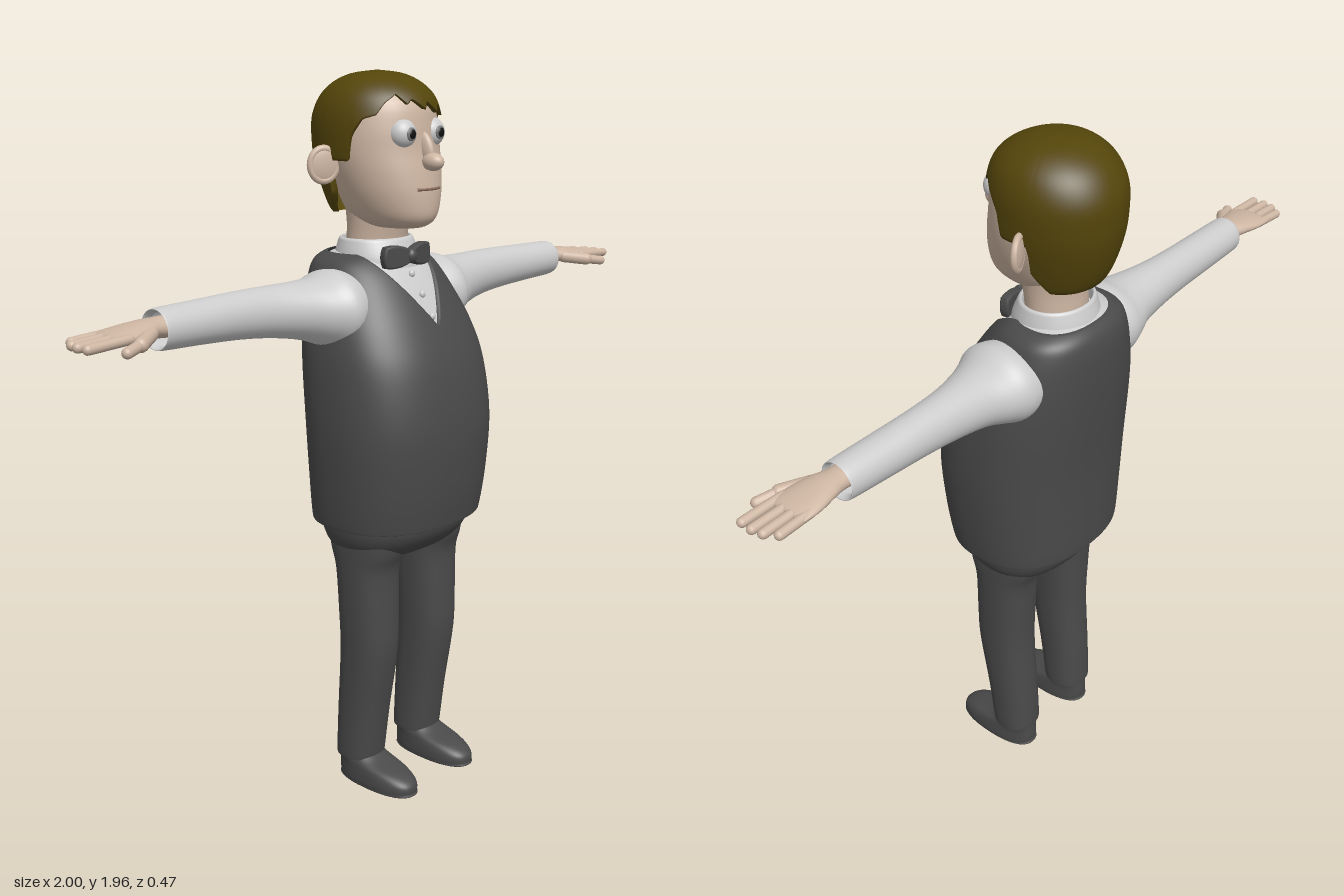
import * as THREE from 'three';

const mat = (color) => new THREE.MeshStandardMaterial({ color, side: THREE.DoubleSide });
const SKIN = mat(0xcdb5a2), HAIR = mat(0x54450a), CLOTH = mat(0x4a4a4a), SHIRT = mat(0xcccccc);
const WHITE = mat(0xe8e8e8), IRIS = mat(0x777777), BLACK = mat(0x101010), LIP = mat(0x8a6c5c);

// Cross-section row: [height, half width, front z, back z, centre x]
function rowAt(rows, t) {
  const n = rows.length - 1, f = Math.min(Math.max(t, 0), 1) * n;
  const i = Math.min(Math.floor(f), n - 1), u = f - i;
  const at = (k, c) => rows[Math.min(Math.max(k, 0), n)][c] ?? 0;
  return [0, 1, 2, 3, 4].map((c) => {
    const [a, b, d, e] = [i - 1, i, i + 1, i + 2].map((k) => at(k, c));
    return b + 0.5 * u * (d - a + u * (2 * a - 5 * b + 4 * d - e + u * (3 * (b - d) + e - a)));
  });
}

// Highest t for which test(row) still holds
function lastT(rows, test) {
  let lo = 0, hi = 1;
  for (let k = 0; k < 24; k++) {
    const m = (lo + hi) / 2;
    if (test(rowAt(rows, m))) lo = m; else hi = m;
  }
  return lo;
}

const pw = (v, e) => Math.sign(v) * Math.abs(v) ** e;

// Smooth skin over rows; from/to limit it per angle (0 = front, + = left), lip turns the edges inward
function loft(rows, { e = 1, seg = 40, steps = 40, from = () => 0, to = () => 1, lip = 0 } = {}) {
  const pos = [], idx = [], first = lip ? -1 : 0, last = lip ? steps + 1 : steps;
  const limits = Array.from({ length: seg }, (_, i) => {
    let a = (i / seg) * Math.PI * 2;
    if (a > Math.PI) a -= Math.PI * 2;
    return [a, from(a), to(a)];
  });
  for (let j = first; j <= last; j++) {
    const u = Math.min(Math.max(j / steps, 0), 1);
    const k = j < 0 || j > steps ? 1 - lip : 1;
    for (const [a, t0, t1] of limits) {
      const [y, w, zf, zb, cx] = rowAt(rows, t0 + (t1 - t0) * u);
      pos.push(cx + k * w * pw(Math.sin(a), e), y, (zf + zb) / 2 + (k * (zf - zb) / 2) * pw(Math.cos(a), e));
    }
  }
  for (let j = 0; j < last - first; j++) for (let i = 0; i < seg; i++) {
    const a = j * seg + i, b = j * seg + (i + 1) % seg;
    idx.push(a, b, a + seg, b, b + seg, a + seg);
  }
  const g = new THREE.BufferGeometry();
  g.setAttribute('position', new THREE.Float32BufferAttribute(pos, 3));
  g.setIndex(idx);
  g.computeVertexNormals();
  return g;
}

export function createModel() {
  const root = new THREE.Group();
  root.name = 'standingMan';
  const add = (name, geo, material, parent = root) => {
    const m = new THREE.Mesh(geo, material);
    m.name = name;
    parent.add(m);
    return m;
  };
  const ball = (name, material, p, s, parent = root) => {
    const m = add(name, new THREE.SphereGeometry(1, 28, 20), material, parent);
    m.position.set(...p);
    m.scale.set(...s);
    return m;
  };
  const capsule = (name, a, b, r, parent) => {
    const A = new THREE.Vector3(...a), B = new THREE.Vector3(...b), d = B.clone().sub(A);
    const m = add(name, new THREE.CapsuleGeometry(r, d.length(), 6, 14), SKIN, parent);
    m.position.copy(A).add(B).multiplyScalar(0.5);
    m.quaternion.setFromUnitVectors(new THREE.Vector3(0, 1, 0), d.normalize());
  };

  // Vest with a V neck, over a slightly smaller shirt
  const body = [
    [0.80, 0.205, 0.185, -0.15], [0.782, 0.235, 0.21, -0.172], [0.79, 0.243, 0.217, -0.178],
    [0.9, 0.254, 0.233, -0.182], [1.05, 0.262, 0.24, -0.188], [1.2, 0.256, 0.216, -0.2],
    [1.3, 0.24, 0.175, -0.207], [1.38, 0.213, 0.128, -0.21], [1.44, 0.188, 0.085, -0.207],
    [1.475, 0.165, 0.05, -0.195], [1.495, 0.125, 0.025, -0.17], [1.5, 0.09, 0, -0.14],
  ];
  const neckline = (a) => lastT(body, ([y, w]) => y < 1.493 &&
    (Math.abs(a) > Math.PI / 2 || w * pw(Math.abs(Math.sin(a)), 0.85) >= 0.64 * (y - 1.31)));
  add('vest', loft(body, { e: 0.85, seg: 120, steps: 60, to: neckline, lip: 0.05 }), CLOTH);
  const inner = body.slice(5).map(([y, w, f, b]) => [y - 0.004, w - 0.012, f - 0.012, b + 0.012]);
  add('shirtFront', loft(inner, { e: 0.85, seg: 64 }), SHIRT);
  for (const y of [1.335, 1.39, 1.44]) {
    const z = rowAt(inner, lastT(inner, (r) => r[0] < y))[2];
    ball('shirtButton', SHIRT, [0, y, z + 0.003], [0.01, 0.01, 0.007]);
  }
  add('collar', loft([
    [1.455, 0.118, 0.062, -0.168], [1.485, 0.116, 0.055, -0.162], [1.515, 0.109, 0.042, -0.152],
    [1.528, 0.104, 0.034, -0.146], [1.526, 0.096, 0.026, -0.138], [1.48, 0.092, 0.022, -0.134],
  ]), SHIRT);

  // Bow tie
  const bow = new THREE.Group();
  bow.name = 'bowTie';
  bow.position.set(0, 1.487, 0.06);
  root.add(bow);
  for (const s of [1, -1]) {
    const wing = new THREE.Shape();
    wing.moveTo(0, 0.01);
    wing.quadraticCurveTo(s * 0.04, 0.03, s * 0.078, 0.022);
    wing.quadraticCurveTo(s * 0.088, 0, s * 0.078, -0.022);
    wing.quadraticCurveTo(s * 0.04, -0.03, 0, -0.01);
    const g = new THREE.ExtrudeGeometry(wing, { depth: 0.01, bevelSize: 0.006, bevelThickness: 0.008, bevelSegments: 4 });
    add('bowWing', g, CLOTH, bow).rotation.y = s * 0.2;
  }
  ball('bowKnot', CLOTH, [0, 0, 0.01], [0.017, 0.02, 0.016], bow);

  // Trousers
  add('hips', loft([
    [0.665, 0, 0.02, 0.02], [0.668, 0.09, 0.06, -0.06], [0.685, 0.165, 0.115, -0.1], [0.715, 0.2, 0.155, -0.13],
    [0.76, 0.217, 0.183, -0.15], [0.83, 0.22, 0.19, -0.155],
  ], { e: 0.85 }), CLOTH);
  for (const s of [1, -1]) {
    const cx = s * 0.12;
    add('trouserLeg', loft([
      [0.09, 0.05, 0.04, -0.055, cx], [0.08, 0.062, 0.052, -0.068, cx], [0.09, 0.065, 0.056, -0.072, cx],
      [0.22, 0.066, 0.075, -0.067, cx], [0.4, 0.07, 0.105, -0.056, cx], [0.52, 0.074, 0.107, -0.058, cx],
      [0.64, 0.078, 0.107, -0.065, cx], [0.7, 0.08, 0.125, -0.085, cx], [0.76, 0.08, 0.135, -0.1, cx],
    ], { e: 0.85 }), CLOTH);
    add('shoe', loft([
      [0, 0, 0.06, 0.06, cx], [0.001, 0.052, 0.18, -0.062, cx], [0.012, 0.06, 0.19, -0.07, cx],
      [0.035, 0.06, 0.185, -0.071, cx], [0.055, 0.058, 0.15, -0.07, cx], [0.075, 0.055, 0.075, -0.068, cx],
      [0.1, 0.05, 0.03, -0.06, cx],
    ], { e: 0.85 }), CLOTH);

    // Arm: lofted upward, then turned out to the side
    const arm = (name, rows, material) => {
      const g = loft(rows.map(([d, w, f, b, y]) => [d, w, f, b, -s * y]));
      add(name, g, material).rotation.z = -s * Math.PI / 2;
    };
    arm('sleeve', [
      [0.13, 0.09, 0.06, -0.15, 1.36], [0.2, 0.103, 0.085, -0.158, 1.36], [0.25, 0.087, 0.064, -0.145, 1.362],
      [0.31, 0.075, 0.036, -0.125, 1.37], [0.4, 0.066, 0.01, -0.115, 1.378], [0.5, 0.06, 0, -0.11, 1.383],
      [0.62, 0.055, 0, -0.107, 1.385], [0.745, 0.051, 0, -0.102, 1.386], [0.755, 0.046, -0.004, -0.097, 1.386],
      [0.74, 0.04, -0.01, -0.09, 1.386],
    ], SHIRT);
    arm('palm', [
      [0.7, 0.028, -0.014, -0.082, 1.39], [0.76, 0.025, -0.013, -0.083, 1.392], [0.8, 0.023, 0, -0.092, 1.393],
      [0.85, 0.02, 0.01, -0.102, 1.39], [0.89, 0.015, 0.01, -0.103, 1.388], [0.905, 0.008, 0, -0.095, 1.387],
      [0.908, 0, -0.04, -0.04, 1.387],
    ], SKIN);
    const hand = new THREE.Group();
    hand.name = 'fingers';
    root.add(hand);
    [[0.004, 0.986], [-0.03, 0.988], [-0.06, 0.982], [-0.09, 0.962]].forEach(([z, tip]) =>
      capsule('finger', [s * 0.87, 1.388, z * 0.95 - 0.003], [s * tip, 1.383, z], 0.0125, hand));
    capsule('thumb', [s * 0.8, 1.388, -0.012], [s * 0.86, 1.378, 0.028], 0.018, hand);
    capsule('thumbTip', [s * 0.86, 1.378, 0.028], [s * 0.912, 1.37, 0.046], 0.0135, hand);

    // Eye and ear
    ball('eyeball', WHITE, [s * 0.055, 1.803, 0.086], [0.038, 0.038, 0.036]);
    ball('iris', IRIS, [s * 0.055, 1.803, 0.118], [0.017, 0.017, 0.006]);
    ball('pupil', BLACK, [s * 0.055, 1.803, 0.121], [0.012, 0.012, 0.005]);
    const ear = new THREE.Group();
    ear.name = 'ear';
    ear.position.set(s * 0.172, 1.724, -0.078);
    ear.rotation.y = s * 0.45;
    root.add(ear);
    ball('earShell', SKIN, [0, 0, 0], [0.044, 0.048, 0.012], ear);
    add('earRim', new THREE.TorusGeometry(0.036, 0.009, 12, 32), SKIN, ear).scale.y = 1.12;
  }

  // Head, neck and face
  add('neck', loft([[1.46, 0.088, 0.02, -0.13], [1.52, 0.085, 0.025, -0.13], [1.57, 0.085, 0.035, -0.13], [1.64, 0.09, 0.05, -0.14]]), SKIN);
  add('head', loft([
    [1.558, 0, 0.04, 0.04], [1.563, 0.06, 0.1, -0.08], [1.588, 0.094, 0.132, -0.125], [1.64, 0.121, 0.137, -0.15],
    [1.7, 0.14, 0.13, -0.17], [1.76, 0.15, 0.118, -0.18], [1.82, 0.15, 0.112, -0.19], [1.88, 0.135, 0.097, -0.18],
    [1.92, 0.1, 0.05, -0.15], [1.94, 0, -0.05, -0.05],
  ], { seg: 56 }), SKIN);
  ball('noseBridge', SKIN, [0, 1.765, 0.117], [0.014, 0.045, 0.025]).rotation.x = -0.35;
  ball('noseTip', SKIN, [0, 1.733, 0.142], [0.023, 0.023, 0.033]);
  const smile = [[-0.043, 0.127], [-0.02, 0.135], [0, 0.137], [0.02, 0.135], [0.043, 0.127]];
  add('mouth', new THREE.TubeGeometry(new THREE.CatmullRomCurve3(
    smile.map(([x, z]) => new THREE.Vector3(x, 1.664, z))), 20, 0.0035, 8), LIP);

  // Hair cap with a ragged fringe, sideburns and a low nape: [angle, edge height]
  const side = [[72, 1.8], [78, 1.735], [104, 1.735], [107, 1.66], [118, 1.595], [181, 1.59]];
  const edge = [
    ...side.map(([a, y]) => [-a, y]).reverse(),
    [-62, 1.84], [-50, 1.85], [-42, 1.88], [-30, 1.9], [-20, 1.875], [-14, 1.888], [0, 1.862], [5, 1.88],
    [20, 1.852], [25, 1.87], [42, 1.84], [47, 1.858], [62, 1.83], ...side,
  ];
  const hair = [
    [1.582, 0.09, 0, -0.145], [1.6, 0.115, 0.06, -0.178], [1.65, 0.14, 0.14, -0.205], [1.72, 0.156, 0.137, -0.225],
    [1.78, 0.162, 0.13, -0.231], [1.84, 0.161, 0.123, -0.228], [1.89, 0.145, 0.105, -0.205],
    [1.925, 0.114, 0.068, -0.168], [1.948, 0.068, 0.015, -0.115], [1.957, 0, -0.05, -0.05],
  ];
  const hairline = (a) => {
    const d = THREE.MathUtils.radToDeg(a);
    const k = edge.findIndex((p) => p[0] > d);
    const [a0, y0] = edge[k - 1], [a1, y1] = edge[k];
    const limit = y0 + (y1 - y0) * (d - a0) / (a1 - a0);
    return lastT(hair, (r) => r[0] < limit);
  };
  add('hair', loft(hair, { seg: 144, steps: 40, from: hairline, lip: 0.12 }), HAIR);
  return root;
}
